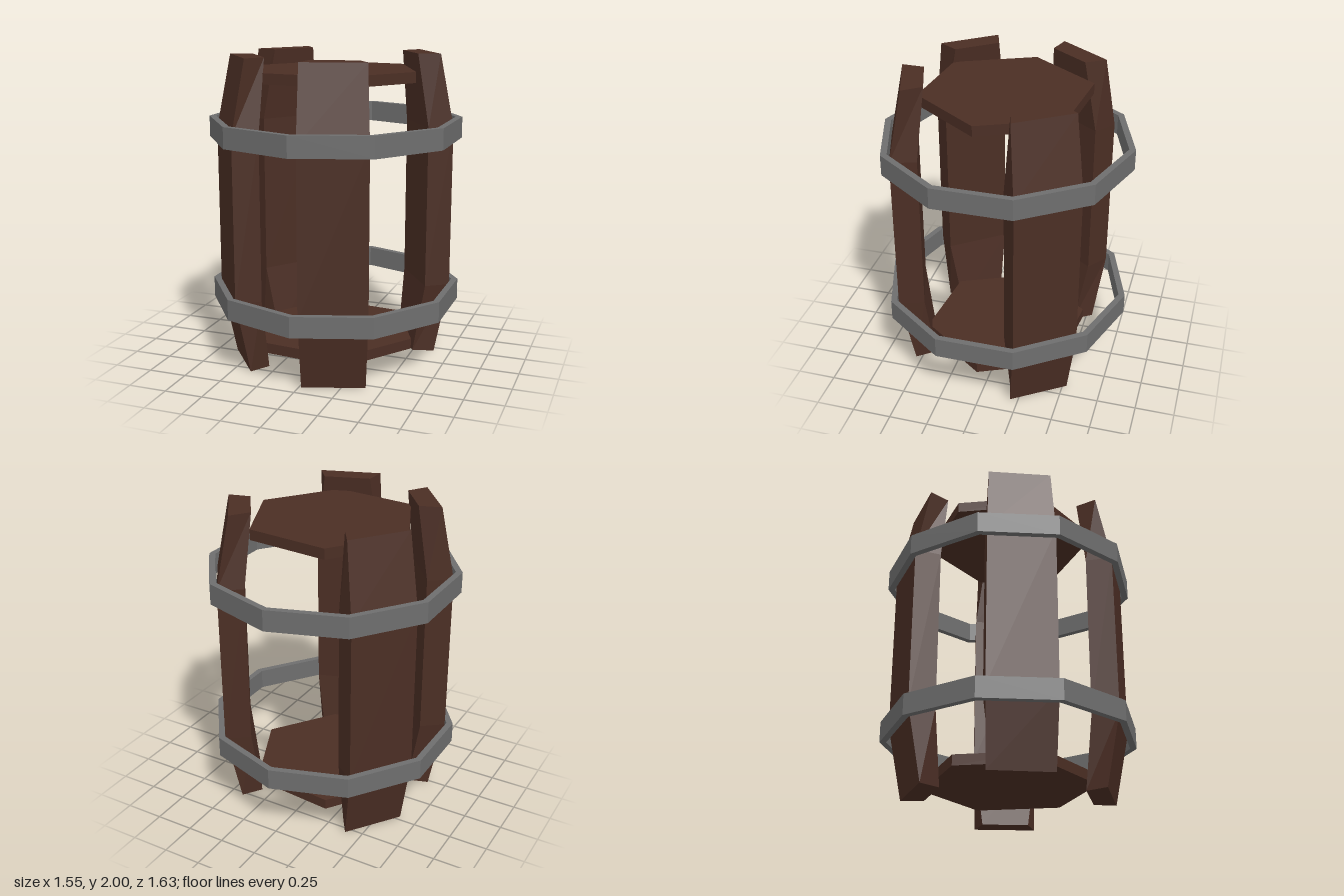
import * as THREE from 'three';

const rad = THREE.MathUtils.degToRad;

// Faceted copy of a geometry
function faceted(geometry) {
  const g = geometry.toNonIndexed();
  g.computeVertexNormals();
  return g;
}

// One bent plank: straight in the middle, leaning inward and narrowing at both ends
function staveGeometry() {
  const g = new THREE.BoxGeometry(1, 3, 1, 1, 3, 1);
  const p = g.attributes.position;
  for (let i = 0; i < p.count; i++) {
    const side = Math.sign(p.getX(i));
    const y = p.getY(i);
    const outer = p.getZ(i) > 0;
    const end = Math.abs(y) > 1;
    const halfWidth = end ? (outer ? 0.2 : 0.151) : 0.213;
    const depth = end ? (outer ? 0.637 : 0.502) : (outer ? 0.73 : 0.56);
    p.setXYZ(i, side * halfWidth, 1 + Math.sign(y) * (end ? 1 : 0.53), depth);
  }
  return faceted(g);
}

// Ten-sided band with a rectangular section
function hoopGeometry() {
  const outer = 0.815, inner = 0.773, h = 0.0675;
  const profile = [[outer, -h], [outer, h], [inner, h], [inner, -h], [outer, -h]]
    .map(([x, y]) => new THREE.Vector2(x, y));
  return faceted(new THREE.LatheGeometry(profile, 10));
}

export function createModel() {
  const wood = new THREE.MeshStandardMaterial({ color: 0x4b2e24 });
  wood.name = 'dark wood';
  const iron = new THREE.MeshStandardMaterial({ color: 0x6e6e6e });
  iron.name = 'grey iron';

  const barrel = new THREE.Group();
  barrel.name = 'barrel';
  const add = (name, geometry, material, y, turn) => {
    const mesh = new THREE.Mesh(geometry, material);
    mesh.name = name;
    mesh.position.y = y;
    mesh.rotation.y = rad(turn);
    barrel.add(mesh);
  };

  // Four remaining staves, by bearing from the x axis towards the front
  const stave = staveGeometry();
  const bearings = { frontStave: 71.3, frontRightStave: 142.3, backRightStave: 216.4, backLeftStave: 325.4 };
  for (const [name, a] of Object.entries(bearings)) add(name, stave, wood, 0, 90 - a);

  // Hexagonal lid and base
  const disc = faceted(new THREE.CylinderGeometry(0.548, 0.548, 0.068, 6));
  add('lid', disc, wood, 1.872, 24.3);
  add('base', disc, wood, 0.132, 24.3);

  // Metal hoops
  const hoop = hoopGeometry();
  add('upperHoop', hoop, iron, 1.532, 0);
  add('lowerHoop', hoop, iron, 0.443, 0);

  return barrel;
}
